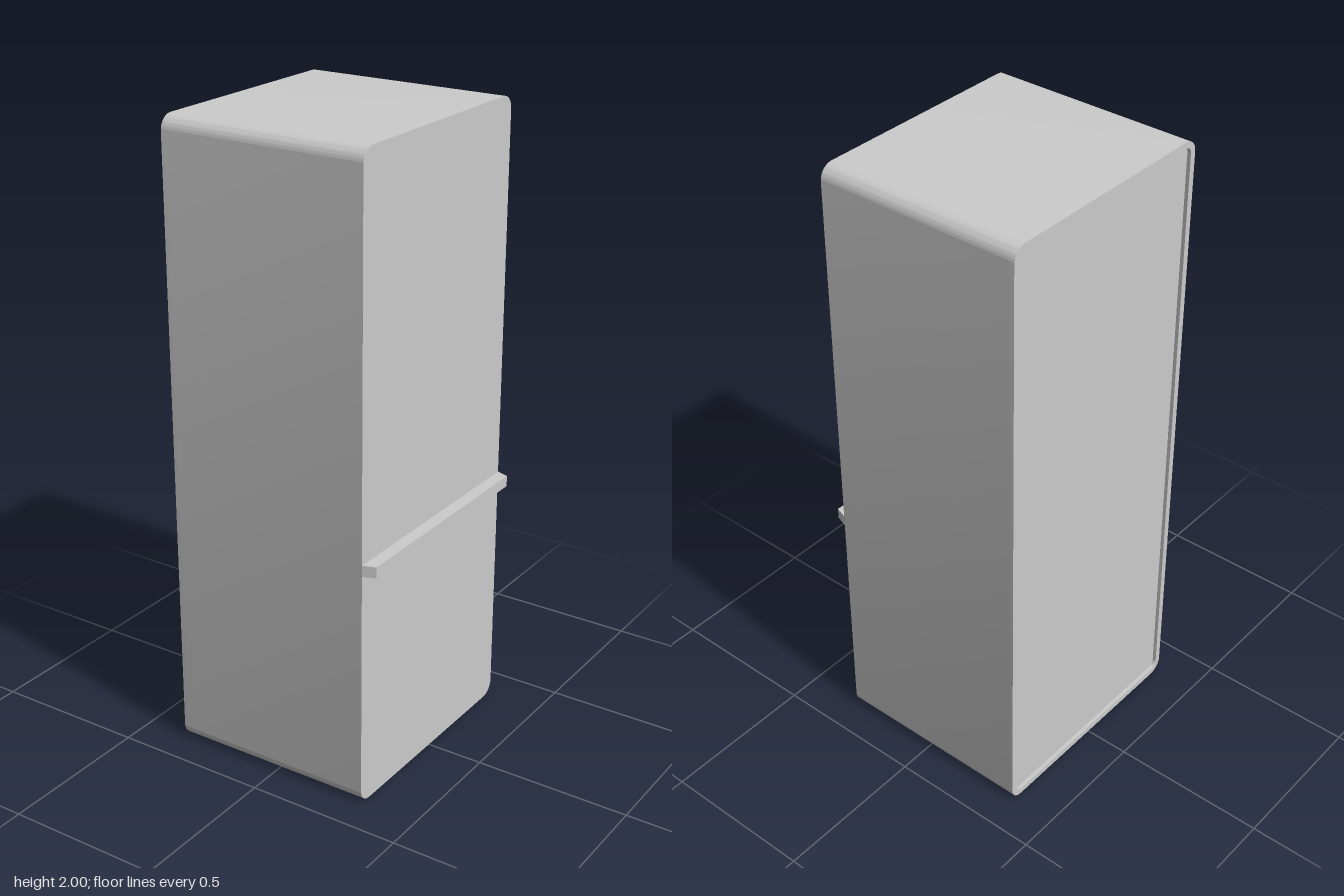
import * as THREE from 'three';
import { toCreasedNormals } from 'three/addons/utils/BufferGeometryUtils.js';

const HALF_DEPTH = 0.39, HEIGHT = 2, RADIUS = 0.045;
const X_BACK = -0.355, X_DOOR = 0.315, X_HANDLE = 0.355;
const RIM = 0.02, RECESS = 0.012;

// Rounded side outline, shrunk by an inset
function outline(inset, Type = THREE.Shape) {
  const w = HALF_DEPTH - inset, b = inset, t = HEIGHT - inset, r = RADIUS - inset;
  const s = new Type();
  s.moveTo(-w + r, b);
  s.lineTo(w - r, b);
  s.absarc(w - r, b + r, r, -Math.PI / 2, 0);
  s.lineTo(w, t - r);
  s.absarc(w - r, t - r, r, 0, Math.PI / 2);
  s.lineTo(-w + r, t);
  s.absarc(-w + r, t - r, r, Math.PI / 2, Math.PI);
  s.lineTo(-w, b + r);
  s.absarc(-w + r, b + r, r, Math.PI, Math.PI * 1.5);
  return s;
}

// Extrude an outline along x between two positions
function extrudeX(shape, x0, x1) {
  const g = new THREE.ExtrudeGeometry(shape, { depth: x1 - x0, bevelEnabled: false, curveSegments: 8 });
  g.rotateY(Math.PI / 2);
  g.translate(x0, 0, 0);
  return toCreasedNormals(g, 0.6);
}

export function createModel() {
  const group = new THREE.Group();
  const material = new THREE.MeshStandardMaterial({ color: 0xcccccc });
  const add = (name, geometry) => {
    const mesh = new THREE.Mesh(geometry, material);
    mesh.name = name;
    group.add(mesh);
  };

  // Cabinet
  add('cabinet', extrudeX(outline(0), X_BACK + RECESS, X_DOOR));

  // Raised rim around the recessed panel on the -x side
  const rim = outline(0);
  rim.holes.push(outline(RIM, THREE.Path));
  add('panelRim', extrudeX(rim, X_BACK, X_BACK + RECESS));

  // Handle bar across the door, with ends tapering outwards
  const bar = new THREE.Shape([
    new THREE.Vector2(X_DOOR, -HALF_DEPTH),
    new THREE.Vector2(X_HANDLE, -0.376),
    new THREE.Vector2(X_HANDLE, 0.376),
    new THREE.Vector2(X_DOOR, HALF_DEPTH),
  ]);
  const handle = new THREE.ExtrudeGeometry(bar, { depth: 0.035, bevelEnabled: false });
  handle.rotateX(-Math.PI / 2);
  handle.translate(0, 0.765, 0);
  add('handleBar', handle);

  return group;
}
